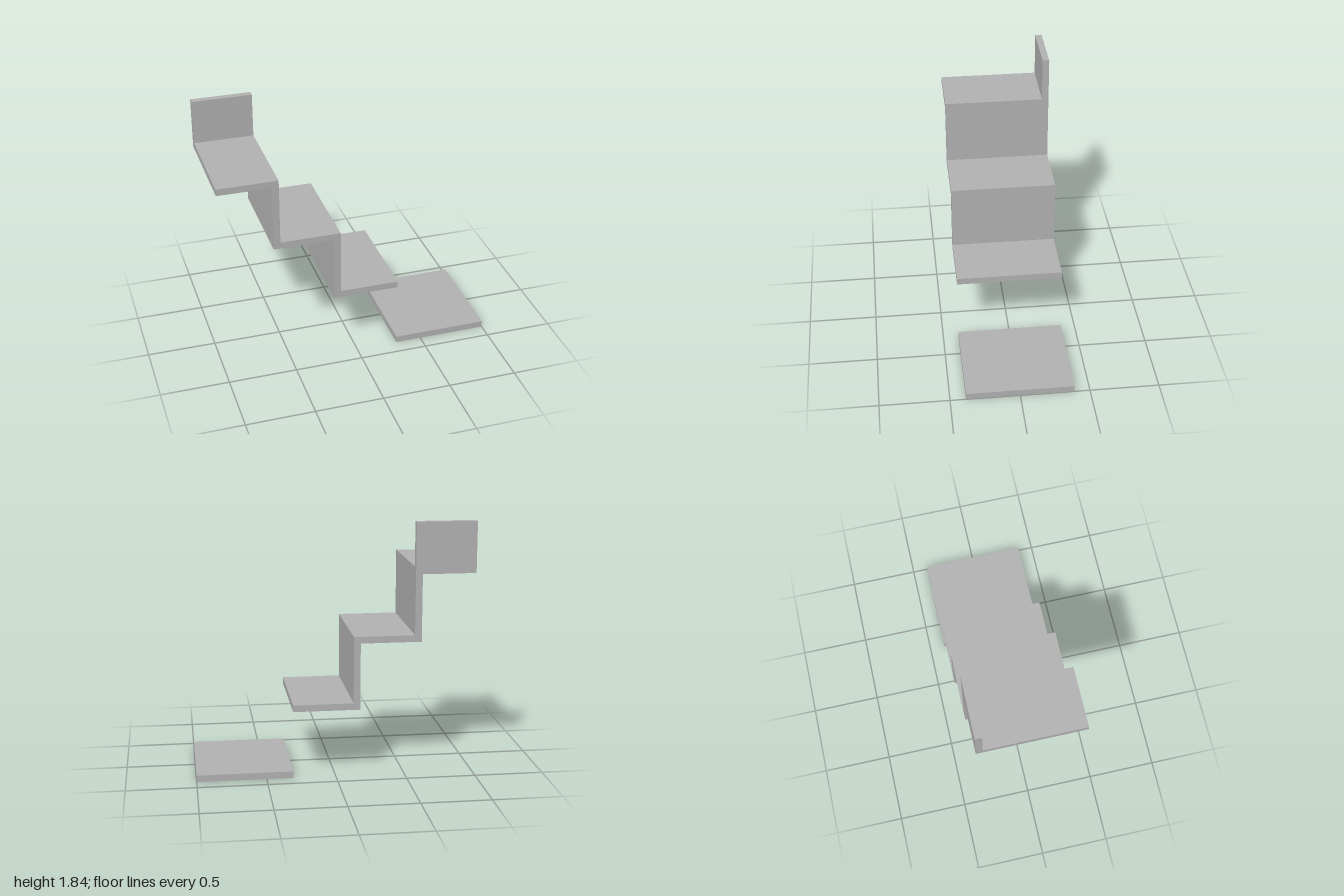
import * as THREE from 'three';

export function createModel() {
  const model = new THREE.Group();
  const grey = new THREE.MeshStandardMaterial({ color: 0xb2b2b2 });
  grey.name = 'grey';

  const depth = 0.774;   // front-to-back size of every tread
  const t = 0.049;       // slab thickness

  const add = (name, geometry) => {
    const mesh = new THREE.Mesh(geometry, grey);
    mesh.name = name;
    model.add(mesh);
  };

  // box given by its minimum and maximum corners
  const slab = (name, [x0, y0, z0], [x1, y1, z1]) => {
    const g = new THREE.BoxGeometry(x1 - x0, y1 - y0, z1 - z0);
    g.translate((x0 + x1) / 2, (y0 + y1) / 2, (z0 + z1) / 2);
    add(name, g);
  };

  // folded staircase: one zigzag ribbon swept front to back
  const profile = [
    [0.306, 0.493], [0.306, 0.493 + t],                      // lowest tread end
    [-0.128, 0.493 + t], [-0.128, 0.979 + t],                // first riser
    [-0.566, 0.979 + t], [-0.566, 1.466 + t],                // second riser
    [-1, 1.466 + t], [-1, 1.466],                            // top tread end
    [-0.566 - t, 1.466], [-0.566 - t, 0.979],
    [-0.128 - t, 0.979], [-0.128 - t, 0.493],
  ];
  const shape = new THREE.Shape(profile.map(([x, y]) => new THREE.Vector2(x, y)));
  const stairs = new THREE.ExtrudeGeometry(shape, { depth, bevelEnabled: false });
  stairs.translate(0, 0, -depth / 2);
  add('foldedStairs', stairs);

  // upright panel on the back edge of the top tread
  slab('backPanel', [-1, 1.466 + t, -depth / 2], [-0.566, 1.836, -depth / 2 + t]);

  // separate slab lying on the ground
  slab('groundSlab', [0.308, 0, -depth / 2], [1, t, depth / 2]);

  return model;
}
